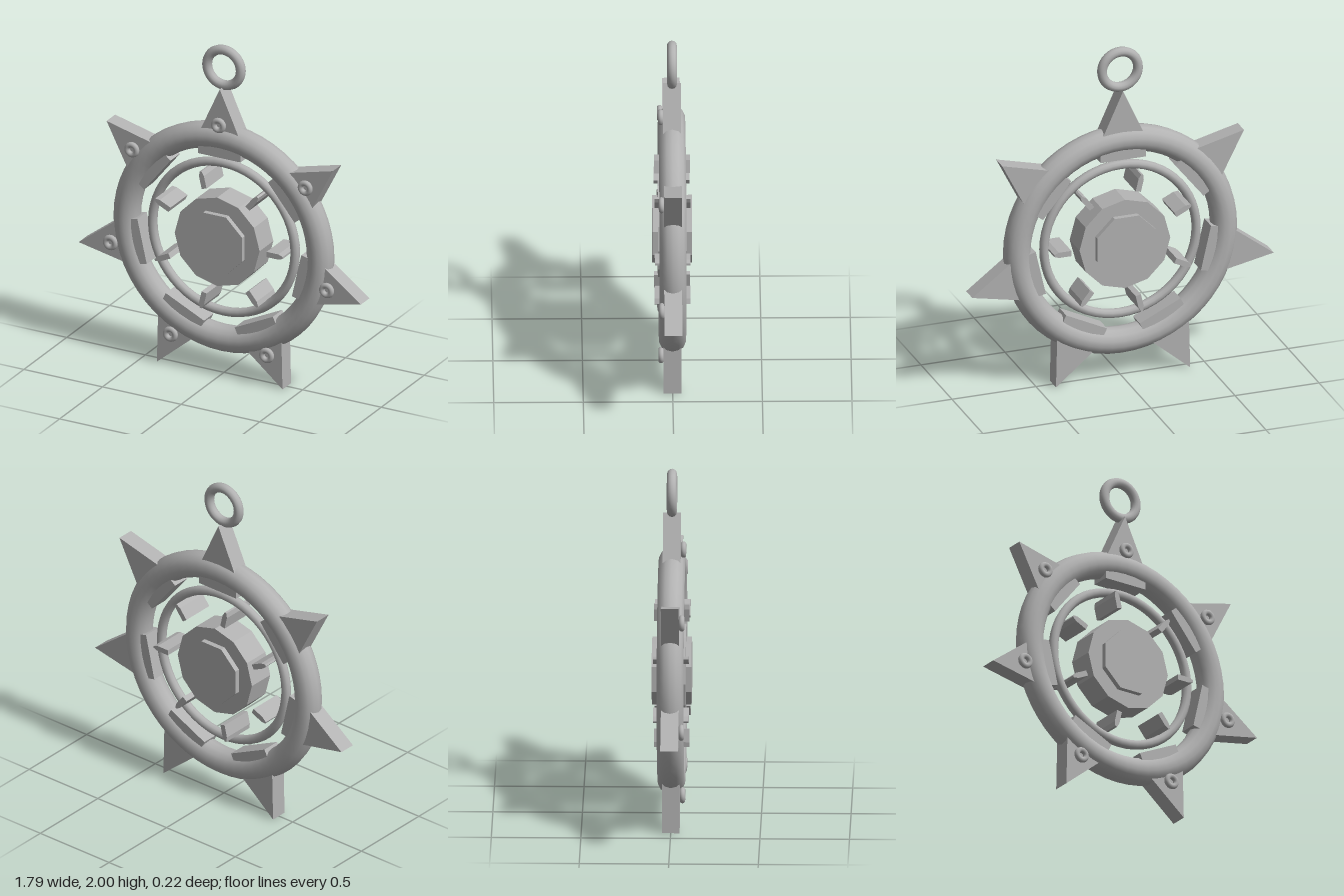
import * as THREE from 'three';

const CENTRE_Y = 0.83;
const COUNT = 7;

export function createModel() {
  const metal = new THREE.MeshStandardMaterial({ color: 0xb2b2b2 });
  metal.name = 'greyMetal';
  const flatMetal = metal;

  const model = new THREE.Group();
  model.name = 'spikedPendant';
  const wheel = new THREE.Group();
  wheel.name = 'wheel';
  wheel.position.y = CENTRE_Y;
  model.add(wheel);

  const add = (parent, name, geometry, x = 0, y = 0, z = 0) => {
    const mesh = new THREE.Mesh(geometry, flatMetal);
    mesh.name = name;
    mesh.position.set(x, y, z);
    parent.add(mesh);
    return mesh;
  };

  // Flat plate from an outline, centred on z = 0
  const plate = (points, depth) => {
    const shape = new THREE.Shape(points.map(([x, y]) => new THREE.Vector2(x, y)));
    return new THREE.ExtrudeGeometry(shape, { depth, bevelEnabled: false }).translate(0, 0, -depth / 2);
  };

  // Faceted drum with its axis along z
  const drum = (radius, depth, sides, turn) => {
    const g = new THREE.CylinderGeometry(radius, radius, depth, sides).toNonIndexed();
    g.computeVertexNormals();
    return g.rotateX(Math.PI / 2).rotateZ(turn);
  };

  // Rings
  add(wheel, 'outerRing', new THREE.TorusGeometry(0.615, 0.077, 14, 56));
  add(wheel, 'innerRing', new THREE.TorusGeometry(0.453, 0.027, 10, 56));
  add(model, 'hangingLoop', new THREE.TorusGeometry(0.107, 0.028, 12, 36), 0, 1.865, 0);

  // Core drum with a raised eight-sided cap on both faces
  add(wheel, 'core', drum(0.27, 0.16, 12, 0));
  add(wheel, 'coreCaps', drum(0.19, 0.222, 8, Math.PI / 8));

  // Parts repeated around the wheel; +y is outward in each sector
  const spike = plate([[-0.145, 0.6], [0.145, 0.6], [0, 0.92]], 0.1);
  const pad = new THREE.BoxGeometry(0.27, 0.062, 0.11);
  const rivet = new THREE.TorusGeometry(0.03, 0.016, 10, 20);
  const fin = plate([[-0.016, 0.325], [0.016, 0.325], [0.016, 0.4], [0.006, 0.428], [-0.006, 0.428], [-0.016, 0.4]], 0.2);

  for (let i = 0; i < COUNT; i++) {
    const angle = (i / COUNT) * Math.PI * 2;
    const sector = new THREE.Group();
    sector.name = 'sector' + (i + 1);
    sector.rotation.z = angle;
    add(sector, 'spike', spike);
    add(sector, 'innerPad', pad, 0, 0.535, 0);
    add(sector, 'rivetRing', rivet, 0, 0.705, 0.064);
    wheel.add(sector);

    // Fins start from the +x side
    add(wheel, 'fin', fin).rotation.z = angle - Math.PI / 2;
  }
  return model;
}
